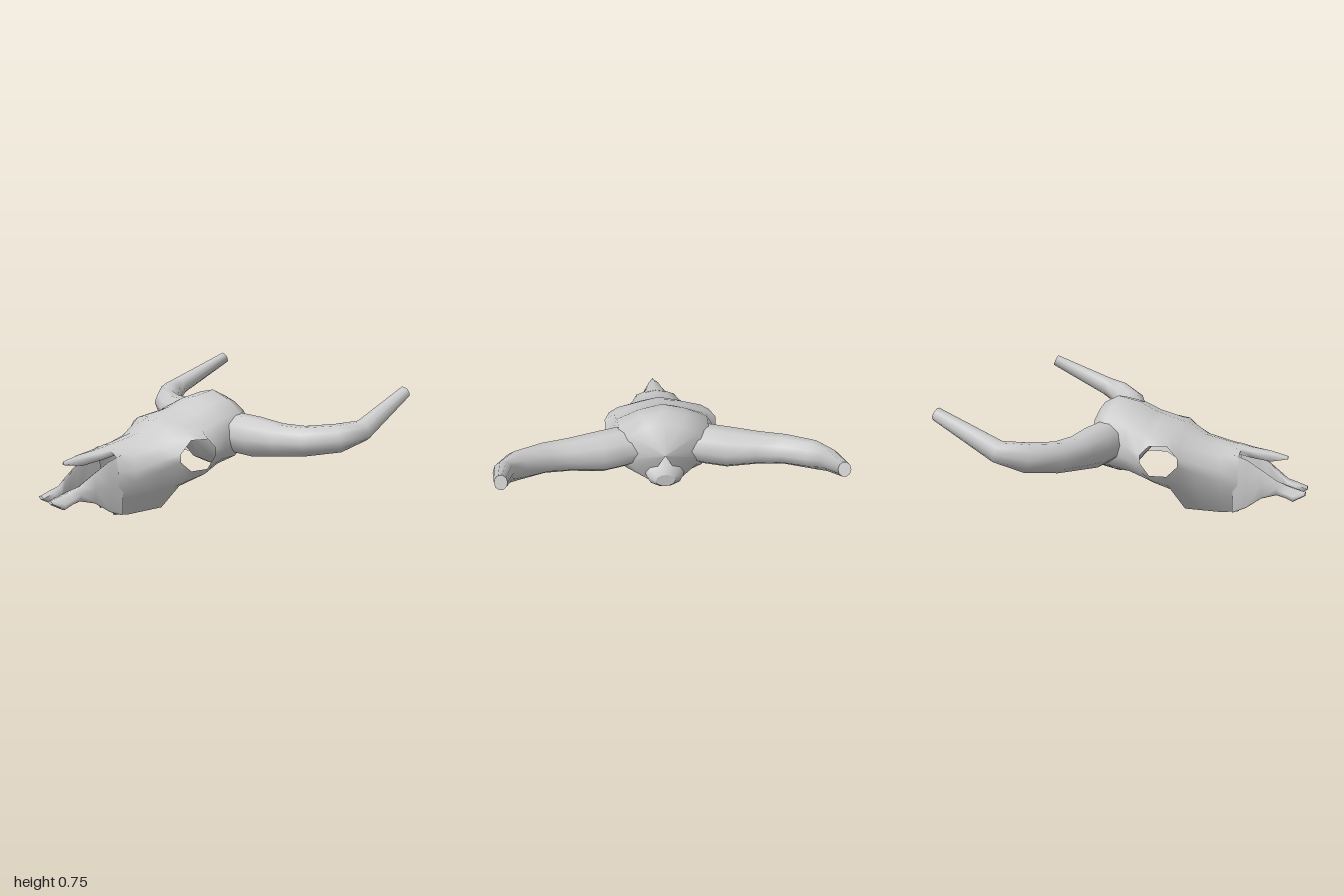
import * as THREE from 'three';

const bone = new THREE.MeshStandardMaterial({ color: 0xcccccc, side: THREE.DoubleSide });

// Skin over rows of [x, y, z] points; rows run counterclockwise seen from the last row
function loft(rows, closed, skip = () => false) {
  const n = rows[0].length, index = [];
  for (let i = 0; i < rows.length - 1; i++) {
    if (rows[i] === rows[i + 1]) continue; // repeated row = hard edge
    for (let j = 0; j < (closed ? n : n - 1); j++) {
      if (skip(i, j)) continue;
      const k = (j + 1) % n;
      const a = i * n + j, b = i * n + k, c = b + n, d = a + n;
      index.push(a, b, c, a, c, d);
    }
  }
  const geo = new THREE.BufferGeometry();
  geo.setAttribute('position', new THREE.Float32BufferAttribute(rows.flat(2), 3));
  geo.setIndex(index);
  geo.computeVertexNormals();
  return geo;
}

// Closed loft with both ends filled
function solid(rings) {
  const end = ring => {
    const mid = [0, 1, 2].map(k => ring.reduce((s, p) => s + p[k], 0) / ring.length);
    return ring.map(() => mid);
  };
  const first = rings[0], last = rings[rings.length - 1];
  return loft([end(first), first, ...rings, last, end(last)], true);
}

function mirrored(geo) {
  const g = geo.clone().scale(-1, 1, 1);
  g.setIndex(Array.from(geo.index.array).reverse());
  g.computeVertexNormals();
  return g;
}

function hornGeometry() {
  // [x, y, z, half width, half height]
  const path = [
    [0.14, 0.46, -0.19, 0.11, 0.11],
    [0.27, 0.45, -0.21, 0.125, 0.125],
    [0.39, 0.445, -0.245, 0.125, 0.125],
    [0.57, 0.455, -0.285, 0.105, 0.1],
    [0.725, 0.47, -0.34, 0.095, 0.09],
    [0.87, 0.5, -0.465, 0.085, 0.085],
    [0.93, 0.54, -0.6, 0.06, 0.065],
    [0.895, 0.72, -0.985, 0.035, 0.04],
  ];
  const at = i => new THREE.Vector3(...path[Math.min(Math.max(i, 0), path.length - 1)].slice(0, 3));
  return solid(path.map(([, , , w, h], i) => {
    const t = at(i + 1).sub(at(i - 1)).normalize();
    const side = new THREE.Vector3(0, 1, 0).cross(t).normalize();
    const up = t.clone().cross(side);
    return Array.from({ length: 10 }, (_, j) => {
      const a = j / 10 * Math.PI * 2;
      return at(i).addScaledVector(side, w * Math.cos(a)).addScaledVector(up, h * Math.sin(a)).toArray();
    });
  }));
}

function faceGeometry() {
  // z, ridge height, then x, y of brow, upper socket rim, lower socket rim and lower edge
  const sections = [
    [-0.29, 0.64, 0.21, 0.57, 0.23, 0.46, 0.23, 0.4, 0.1, 0.26],
    [-0.2, 0.685, 0.27, 0.585, 0.3, 0.46, 0.29, 0.38, 0.12, 0.24],
    [-0.06, 0.655, 0.28, 0.56, 0.32, 0.45, 0.32, 0.37, 0.24, 0.27],
    [0.04, 0.605, 0.29, 0.52, 0.35, 0.41, 0.35, 0.36, 0.29, 0.255],
    [0.1, 0.585, 0.29, 0.515, 0.355, 0.47, 0.35, 0.285, 0.28, 0.225],
    [0.2, 0.555, 0.27, 0.505, 0.325, 0.47, 0.325, 0.28, 0.2, 0.16],
    [0.26, 0.54, 0.25, 0.46, 0.305, 0.39, 0.305, 0.34, 0.09, 0.005],
    [0.36, 0.475, 0.2, 0.42, 0.245, 0.35, 0.245, 0.29, 0.09, 0.005],
    [0.5, 0.445, 0.16, 0.39, 0.19, 0.3, 0.2, 0.24, 0.09, 0.005],
    [0.6, 0.425, 0.13, 0.385, 0.15, 0.3, 0.155, 0.22, 0.08, 0.02],
  ];
  const mix = THREE.MathUtils.lerp;
  const rows = sections.map(([z, ridge, bx, by, ux, uy, lx, ly, ex, ey]) => {
    const forehead = [bx * 0.5, mix(ridge, by, 0.33)];
    const cheek = [mix(ex, lx, 0.68), mix(ex > 0.1 ? ey : ey + 0.05, ly, 0.42)];
    const half = [[ex, ey], cheek, [lx, ly], [ux, uy], [bx, by], forehead];
    return [
      ...half.map(([x, y]) => [x, y, z]),
      [0, ridge, z],
      ...half.reverse().map(([x, y]) => [-x, y, z]),
    ];
  });
  // close the back of the skull to a point
  rows.unshift(rows[0].map(() => [0, 0.46, -0.355]));
  // leave the eye sockets open
  return loft(rows, false, (i, j) => i >= 4 && i <= 6 && (j === 2 || j === 9));
}

function braincaseGeometry() {
  // [z, centre y, half width, half height]
  return solid([
    [-0.36, 0.29, 0.06, 0.04], [-0.33, 0.305, 0.11, 0.075], [-0.18, 0.325, 0.15, 0.125],
    [-0.08, 0.38, 0.15, 0.13], [0.02, 0.46, 0.12, 0.09],
  ].map(([z, y, w, h]) => Array.from({ length: 10 }, (_, j) => {
    const a = j / 10 * Math.PI * 2;
    return [w * Math.cos(a), y + h * Math.sin(a), z];
  })));
}

function nasalGeometry() {
  // [z, half width, top y, lower y]
  return solid([
    [0.57, 0.1, 0.432, 0.395], [0.66, 0.08, 0.415, 0.37], [0.78, 0.05, 0.4, 0.345], [0.88, 0.008, 0.375, 0.355],
  ].map(([z, w, t, b]) => [
    [w, b, z], [w * 0.65, t - 0.012, z], [0, t, z], [-w * 0.65, t - 0.012, z], [-w, b, z], [0, b + 0.012, z],
  ]));
}

function jawProngGeometry() {
  // [z, inner x, outer x, lower y, upper y]
  return solid([
    [0.57, 0.115, 0.155, 0.025, 0.395], [0.65, 0.11, 0.145, 0.06, 0.365], [0.74, 0.095, 0.132, 0.125, 0.305],
    [0.83, 0.075, 0.118, 0.15, 0.24], [0.88, 0.03, 0.112, 0.13, 0.21], [0.93, 0.03, 0.115, 0.11, 0.195],
    [1.0, 0.03, 0.092, 0.15, 0.175],
  ].map(([z, i, o, b, t]) => {
    const m = (b + t) / 2, c = (i + o) / 2;
    return [[i, b + 0.01, z], [c, b, z], [o - 0.01, b + 0.01, z], [o, m, z], [c, t, z], [i, t - 0.01, z]];
  }));
}

function palateGeometry() {
  // shallow arch between the lower edges of the face
  return loft([[0.28, 0.005], [0.5, 0.005], [0.6, 0.02]].map(([z, y]) =>
    [-2, -1, 0, 1, 2].map(k => [k * 0.043, y + 0.045 * (1 - k * k / 4), z])), false);
}

export function createModel() {
  const group = new THREE.Group();
  const add = (name, geo) => {
    const mesh = new THREE.Mesh(geo, bone);
    mesh.name = name;
    group.add(mesh);
    return mesh;
  };
  const addPair = (name, geo) => {
    add('left' + name, geo);
    add('right' + name, mirrored(geo));
  };

  add('face', faceGeometry());
  add('braincase', braincaseGeometry());
  add('nasalBone', nasalGeometry());
  add('palate', palateGeometry());
  addPair('Horn', hornGeometry());
  addPair('JawProng', jawProngGeometry());

  // small bridge joining the two jaw prongs
  add('jawBridge', new THREE.BoxGeometry(0.09, 0.035, 0.06)).position.set(0, 0.14, 0.9);

  return group;
}
